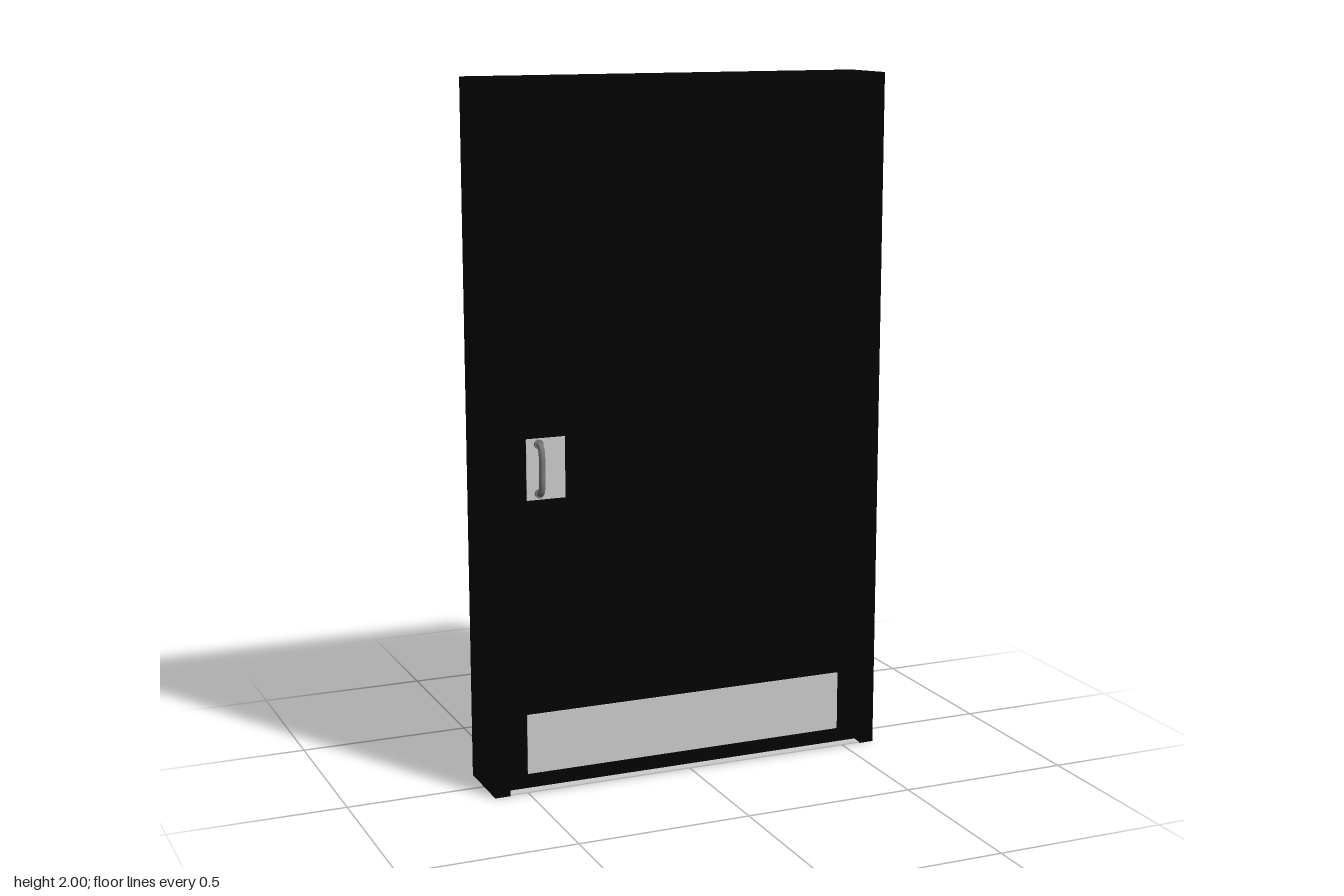
import * as THREE from 'three';

const black = new THREE.MeshStandardMaterial({ color: 0x030303 });
const steel = new THREE.MeshStandardMaterial({ color: 0xcccccc });
const darkSteel = new THREE.MeshStandardMaterial({ color: 0x777777 });

// Box given by its min and max on each axis
function slab(name, [x0, x1], [y0, y1], [z0, z1], material) {
  const mesh = new THREE.Mesh(new THREE.BoxGeometry(x1 - x0, y1 - y0, z1 - z0), material);
  mesh.name = name;
  mesh.position.set((x0 + x1) / 2, (y0 + y1) / 2, (z0 + z1) / 2);
  return mesh;
}

// Bowed pull bar with a round foot at each end; dir is the side it faces
function pullHandle(name, z, dir) {
  const group = new THREE.Group();
  group.name = name;
  const points = [[-0.07, 0], [-0.066, 0.018], [-0.045, 0.027], [0, 0.028], [0.045, 0.027], [0.066, 0.018], [0.07, 0]]
    .map(([y, out]) => new THREE.Vector3(0, y, out * dir));
  const bar = new THREE.Mesh(
    new THREE.TubeGeometry(new THREE.CatmullRomCurve3(points), 40, 0.009, 12), darkSteel);
  bar.name = 'handleBar';
  group.add(bar);
  for (const y of [-0.07, 0.07]) {
    const foot = new THREE.Mesh(new THREE.CylinderGeometry(0.013, 0.013, 0.006, 20), darkSteel);
    foot.name = 'handleFoot';
    foot.rotation.x = Math.PI / 2;
    foot.position.set(0, y, 0.003 * dir);
    group.add(foot);
  }
  group.position.set(-0.446, 0.93, z);
  return group;
}

export function createModel() {
  const model = new THREE.Group();
  model.name = 'door';

  // Frame: two jambs and a head in one piece
  const outline = new THREE.Shape();
  [[-0.6, 0], [-0.555, 0], [-0.555, 1.955], [0.555, 1.955], [0.555, 0], [0.6, 0], [0.6, 2], [-0.6, 2]]
    .forEach(([x, y], i) => (i ? outline.lineTo(x, y) : outline.moveTo(x, y)));
  outline.closePath();
  const frame = new THREE.Mesh(
    new THREE.ExtrudeGeometry(outline, { depth: 0.203, bevelEnabled: false }), black);
  frame.name = 'frame';
  frame.position.z = -0.103;
  model.add(frame);

  // Door leaf, set towards the front of the frame
  model.add(slab('doorLeaf', [-0.553, 0.553], [0.008, 1.953], [0.037, 0.064], black));

  // Threshold plates with a dark seal between them
  model.add(slab('threshold', [-0.555, 0.555], [0, 0.005], [-0.1, 0.035], steel));
  model.add(slab('doorSeal', [-0.555, 0.555], [0.001, 0.008], [0.035, 0.068], black));
  model.add(slab('thresholdLip', [-0.555, 0.555], [0, 0.004], [0.068, 0.098], steel));

  // Kick plate, handle plate and pull on each face
  for (const [side, z, dir] of [['front', 0.064, 1], ['back', 0.037, -1]]) {
    const depth = [Math.min(z, z + 0.003 * dir), Math.max(z, z + 0.003 * dir)];
    model.add(slab(side + 'KickPlate', [-0.49, 0.495], [0.045, 0.22], depth, steel));
    model.add(slab(side + 'HandlePlate', [-0.482, -0.368], [0.842, 1.016], depth, steel));
    model.add(pullHandle(side + 'Handle', z + 0.003 * dir, dir));
  }
  return model;
}
